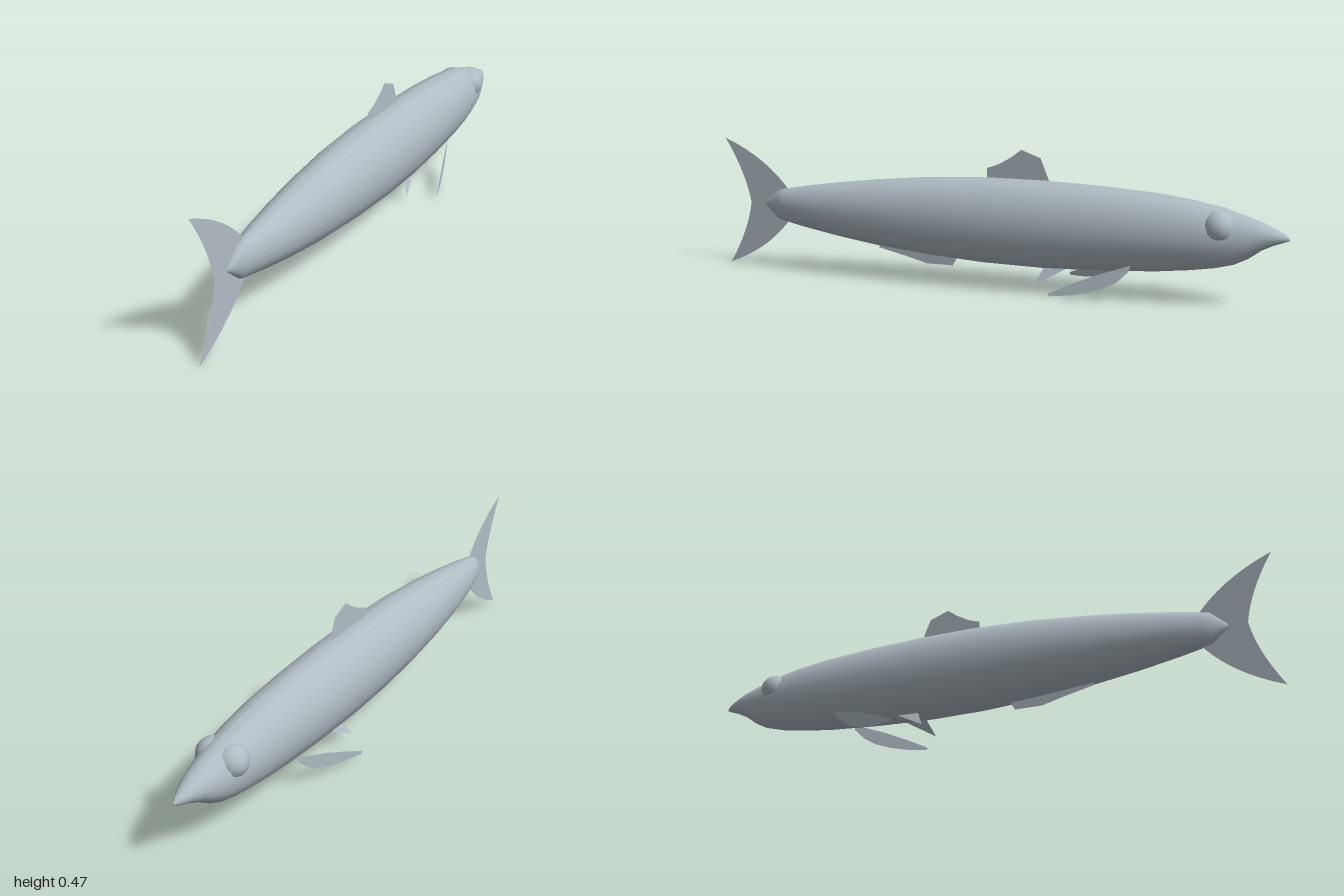
import * as THREE from 'three';

const skin = new THREE.MeshStandardMaterial({ color: 0xb0bcc4, side: THREE.DoubleSide });
skin.name = 'silver grey skin';

// Body stations from snout to tail root: z, half width, top y, bottom y
const STATIONS = [
  [-1, 0.002, 0.24, 0.232], [-0.985, 0.013, 0.253, 0.226], [-0.95, 0.03, 0.27, 0.213], [-0.915, 0.043, 0.286, 0.195],
  [-0.875, 0.055, 0.301, 0.165], [-0.83, 0.066, 0.315, 0.142], [-0.77, 0.077, 0.331, 0.126],
  [-0.69, 0.087, 0.347, 0.113], [-0.58, 0.096, 0.361, 0.1], [-0.4, 0.105, 0.374, 0.088],
  [-0.2, 0.11, 0.381, 0.081], [0, 0.11, 0.381, 0.084], [0.2, 0.104, 0.372, 0.097],
  [0.4, 0.09, 0.353, 0.117], [0.55, 0.074, 0.334, 0.139], [0.68, 0.055, 0.314, 0.162],
  [0.76, 0.038, 0.3, 0.178], [0.79, 0.03, 0.293, 0.185], [0.842, 0.003, 0.245, 0.232],
];
const SIDES = 16;

function bodyGeometry() {
  const pos = [], index = [];
  for (const [z, w, top, bottom] of STATIONS) {
    for (let i = 0; i < SIDES; i++) {
      const a = (i / SIDES) * Math.PI * 2;
      pos.push(w * Math.sin(a), (top + bottom) / 2 + ((top - bottom) / 2) * Math.cos(a), z);
    }
  }
  for (let r = 0; r < STATIONS.length - 1; r++) {
    for (let i = 0; i < SIDES; i++) {
      const a = r * SIDES + i, b = r * SIDES + ((i + 1) % SIDES);
      index.push(a, a + SIDES, b, b, a + SIDES, b + SIDES);
    }
  }
  // Close both ends
  const last = (STATIONS.length - 1) * SIDES;
  for (let i = 1; i < SIDES - 1; i++) {
    index.push(0, i, i + 1);
    index.push(last, last + i + 1, last + i);
  }
  const g = new THREE.BufferGeometry();
  g.setAttribute('position', new THREE.Float32BufferAttribute(pos, 3));
  g.setIndex(index);
  g.computeVertexNormals();
  return g;
}

// Thin fin from a (z, y) outline; xAt gives the sideways position of each point
function finGeometry(shape, xAt = () => 0) {
  const g = new THREE.ShapeGeometry(shape, 8);
  const p = g.attributes.position;
  for (let i = 0; i < p.count; i++) {
    const z = p.getX(i), y = p.getY(i);
    p.setXYZ(i, xAt(z, y), y, z);
  }
  g.computeVertexNormals();
  return g;
}

const outline = (pts) => new THREE.Shape(pts.map(([z, y]) => new THREE.Vector2(z, y)));

export function createModel() {
  const fish = new THREE.Group();
  fish.name = 'fish';
  const add = (name, geometry) => {
    const m = new THREE.Mesh(geometry, skin);
    m.name = name;
    fish.add(m);
    return m;
  };

  add('body', bodyGeometry());

  // Crescent tail fin
  const tail = new THREE.Shape();
  tail.moveTo(0.74, 0.28);
  tail.quadraticCurveTo(0.83, 0.405, 1, 0.473);
  tail.quadraticCurveTo(0.922, 0.345, 0.905, 0.24);
  tail.quadraticCurveTo(0.922, 0.135, 1, 0.01);
  tail.quadraticCurveTo(0.83, 0.075, 0.74, 0.2);
  add('tailFin', finGeometry(tail));

  add('dorsalFin', finGeometry(outline([
    [0, 0.36], [0, 0.413], [-0.04, 0.427], [-0.085, 0.453], [-0.12, 0.48], [-0.187, 0.455], [-0.225, 0.36],
  ])));
  add('analFin', finGeometry(outline([
    [0.4, 0.13], [0.4, 0.108], [0.3, 0.085], [0.22, 0.064], [0.125, 0.064], [0.1, 0.11],
  ])));

  // Paired fins and eyes
  const pectoral = outline([
    [-0.51, 0.13], [-0.505, 0.11], [-0.47, 0.075], [-0.43, 0.053], [-0.38, 0.038], [-0.32, 0.029],
    [-0.26, 0.026], [-0.255, 0.035], [-0.32, 0.064], [-0.4, 0.096],
  ]);
  const pelvic = outline([[-0.3, 0.1], [-0.185, 0.036], [-0.215, 0.1]]);
  for (const [side, s] of [['left', 1], ['right', -1]]) {
    add(side + 'PectoralFin', finGeometry(pectoral, (z) => s * (0.07 + (z + 0.505) * 0.305)));
    add(side + 'PelvicFin', finGeometry(pelvic, (z, y) => s * (0.033 + (0.095 - y) * 0.46)));
    const eye = add(side + 'Eye', new THREE.SphereGeometry(0.053, 16, 12));
    eye.position.set(s * 0.034, 0.268, -0.78);
  }
  return fish;
}
